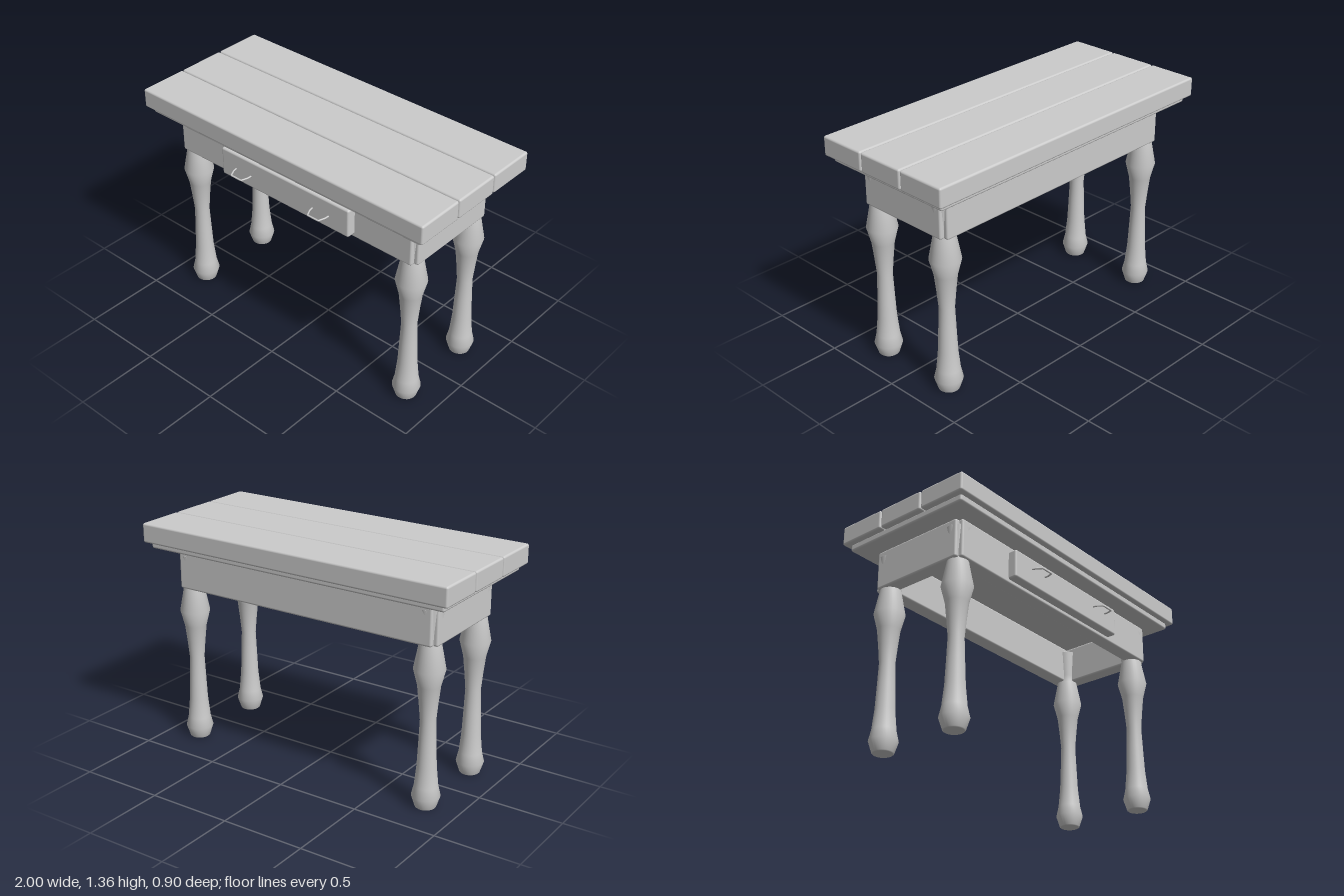
import * as THREE from 'three';
import { RoundedBoxGeometry } from 'three/addons/geometries/RoundedBoxGeometry.js';

const material = new THREE.MeshStandardMaterial({ color: 0xcccccc });

export function createModel() {
  const table = new THREE.Group();
  table.name = 'sideTable';

  const add = (name, geometry, x, y, z) => {
    const mesh = new THREE.Mesh(geometry, material);
    mesh.name = name;
    mesh.position.set(x, y, z);
    table.add(mesh);
    return mesh;
  };
  const board = (name, w, h, d, x, y, z, r = 0.012) =>
    add(name, new RoundedBoxGeometry(w, h, d, 3, r), x, y, z);

  // Table top: three planks over a smaller board
  for (const i of [-1, 0, 1]) board('topPlank', 2, 0.115, 0.295, 0, 1.2985, i * 0.3);
  board('underBoard', 1.93, 0.045, 0.83, 0, 1.2275, 0);

  // Apron: thick boards that leave a small notch at each corner
  const bottom = 0.96, height = 0.232, thick = 0.09;
  const midY = bottom + height / 2;
  for (const s of [-1, 1]) {
    board(s > 0 ? 'frontApron' : 'backApron', 1.686, height, thick, 0, midY, s * (0.32 - thick / 2));
    board(s > 0 ? 'leftApron' : 'rightApron', thick, height, 0.586, s * (0.868 - thick / 2), midY, 0);
  }

  // Drawer front
  board('drawerFront', 0.93, 0.172, 0.07, 0, 1.07, 0.337);

  // Drawer handles: bent bars with slightly flared ends
  const handlePath = new THREE.CurvePath();
  const bends = [[-0.057, 0.006, 0.388], [-0.054, 0.004, 0.41], [-0.038, 0, 0.445],
    [0.038, 0, 0.445], [0.054, 0.004, 0.41], [0.057, 0.006, 0.388]]
    .map(p => new THREE.Vector3(...p));
  for (let i = 1; i < bends.length; i++) handlePath.add(new THREE.LineCurve3(bends[i - 1], bends[i]));
  const handle = new THREE.TubeGeometry(handlePath, 40, 0.005, 8);
  for (const s of [-1, 1]) {
    add('drawerHandle', handle, s * 0.283, 1.068, 0);
    for (const e of [-1, 1]) {
      add('handleEnd', new THREE.SphereGeometry(0.005, 8, 6), s * 0.283 + e * 0.057, 1.074, 0.388);
    }
  }

  // Turned legs, running up into the apron corners
  const profile = [[0, 0], [0.054, 0], [0.06, 0.005], [0.081, 0.07], [0.067, 0.13], [0.055, 0.25],
    [0.049, 0.39], [0.044, 0.52], [0.053, 0.62], [0.064, 0.72], [0.088, 0.815], [0.061, 0.955],
    [0.06, 1.0], [0.072, 1.158], [0.068, 1.162], [0, 1.162]]
    .map(([r, y]) => new THREE.Vector2(r, y));
  const leg = new THREE.LatheGeometry(profile, 32);
  const peg = new THREE.CylinderGeometry(0.005, 0.005, 0.004, 10);
  for (const x of [-1, 1]) {
    for (const z of [-1, 1]) {
      add(z > 0 ? 'frontLeg' : 'backLeg', leg, x * 0.8, 0, z * 0.25);
      // Small pegs that pin the apron to the leg
      add('apronPeg', peg, x * 0.868, 1.156, z * 0.25).rotation.z = Math.PI / 2;
      add('apronPeg', peg, x * 0.8, 1.156, z * 0.32).rotation.x = Math.PI / 2;
    }
  }

  return table;
}
